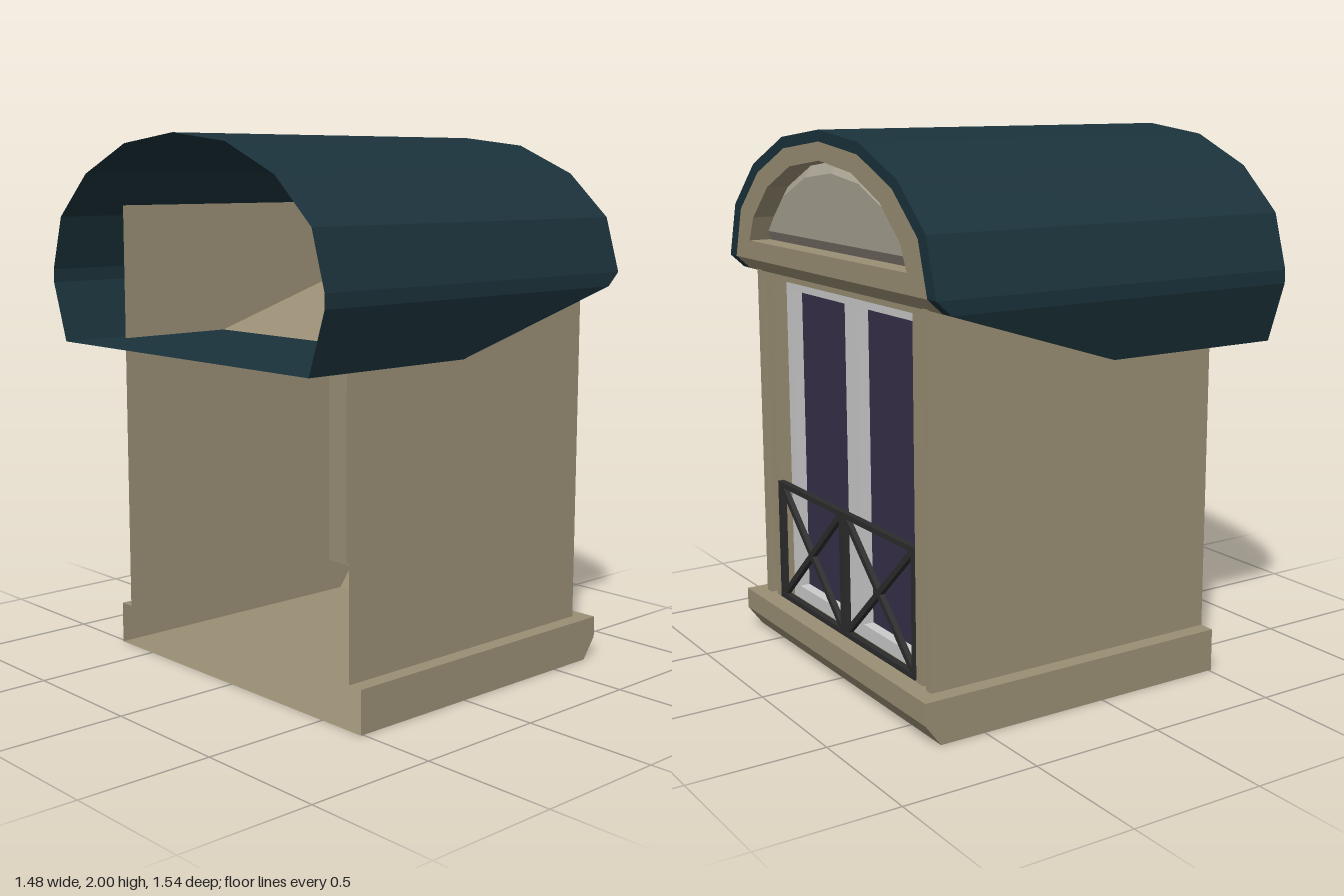
import * as THREE from 'three';

const mat = (color) => new THREE.MeshStandardMaterial({ color, side: THREE.DoubleSide, flatShading: true });

// Half outlines as [z, y], from the crown down
const ROOF = [[0, 2], [0.285, 1.967], [0.535, 1.86], [0.71, 1.7], [0.77, 1.5], [0.77, 1.45], [0.695, 1.23]];
const LINING = [[0, 1.96], [0.275, 1.927], [0.5, 1.83], [0.66, 1.685], [0.715, 1.5], [0.715, 1.45], [0.645, 1.23]];
const ROOF_FRONT = [0.725, 0.725, 0.725, 0.725, 0.725, 0.67, -0.03]; // front x of each outline point
const OPENING = [[0, 1.895], [0.23, 1.865], [0.42, 1.78], [0.55, 1.66], [0.59, 1.57]];
const PANEL = [[0, 1.85], [0.2, 1.825], [0.385, 1.745], [0.47, 1.66], [0.515, 1.61]];
const BACK = -0.51, WALL = 0.635, FACE = 0.675, SILL = 0.695;

// Full outline from one mirrored half
const mirror = (half) => [...half.slice(1).reverse().map(([z, y]) => [-z, y]), ...half];
const mirrorX = (xs) => [...xs.slice(1).reverse(), ...xs];
const at = (pts, x) => pts.map(([z, y], i) => [Array.isArray(x) ? x[i] : x, y, z]);

// Thin surface made of convex polygons
function sheet(name, material, polygons) {
  const pos = [];
  for (const p of polygons)
    for (let i = 1; i < p.length - 1; i++) pos.push(...p[0], ...p[i], ...p[i + 1]);
  const g = new THREE.BufferGeometry();
  g.setAttribute('position', new THREE.Float32BufferAttribute(pos, 3));
  g.computeVertexNormals();
  const mesh = new THREE.Mesh(g, material);
  mesh.name = name;
  return mesh;
}

// Quads joining two rows of points
function strip(a, b, closed = false) {
  const quads = [];
  for (let i = 0; i < a.length - (closed ? 0 : 1); i++) {
    const j = (i + 1) % a.length;
    quads.push([a[i], b[i], b[j], a[j]]);
  }
  return quads;
}

// Box given by its limits
function box(name, material, x0, x1, y0, y1, z0, z1) {
  const mesh = new THREE.Mesh(new THREE.BoxGeometry(x1 - x0, y1 - y0, z1 - z0), material);
  mesh.position.set((x0 + x1) / 2, (y0 + y1) / 2, (z0 + z1) / 2);
  mesh.name = name;
  return mesh;
}

// Flat plate facing +x, outline and holes as [z, y]
function plate(name, material, x, outline, holes = []) {
  const toV = (pts) => pts.map(([z, y]) => new THREE.Vector2(-z, y));
  const shape = new THREE.Shape(toV(outline));
  for (const h of holes) shape.holes.push(new THREE.Path(toV(h)));
  const mesh = new THREE.Mesh(new THREE.ShapeGeometry(shape).rotateY(Math.PI / 2), material);
  mesh.position.x = x;
  mesh.name = name;
  return mesh;
}

const rect = (z, y0, y1) => [[-z, y0], [z, y0], [z, y1], [-z, y1]];

export function createModel() {
  const model = new THREE.Group();
  const stone = mat(0x9a8f75), panelStone = mat(0xa69f90), slate = mat(0x1b323b);
  const white = mat(0xcccccc), glass = mat(0x363049), iron = mat(0x2c2c2c);

  // Curved roof: outer skin, front rim and flat underside
  const roof = new THREE.Group();
  roof.name = 'roof';
  const outer = mirror(ROOF), inner = mirror(LINING), xs = mirrorX(ROOF_FRONT);
  roof.add(sheet('roofSkin', slate, strip(at(outer, -0.74), at(outer, xs))));
  roof.add(sheet('roofRim', slate, strip(at(outer, xs), at(inner, xs))));
  roof.add(sheet('roofUnderside', slate, [[[-0.74, 1.23, -0.695], [-0.03, 1.23, -0.695], [-0.03, 1.23, 0.695], [-0.74, 1.23, 0.695]]]));
  model.add(roof);

  // Arched gable with a raised panel set in a recess
  const gable = new THREE.Group();
  gable.name = 'gable';
  const opening = mirror(OPENING), panel = mirror(PANEL);
  gable.add(plate('gableFace', stone, 0.725, mirror(LINING.slice(0, 5)), [opening]));
  gable.add(sheet('gableRecess', stone, strip(at(opening, 0.725), at(opening, 0.64), true)));
  gable.add(sheet('panelBevel', panelStone, strip(at(opening, 0.64), at(panel, 0.68), true)));
  gable.add(plate('gablePanel', panelStone, 0.68, panel));
  const across = ([z, y], x) => [[x, y, -z], [x, y, z]];
  const rows = LINING.slice(4).map((p, i) => across(p, ROOF_FRONT[i + 4]));
  gable.add(sheet('gableSoffit', stone, [...strip(rows[0], rows[1]), ...strip(rows[1], rows[2])]));
  model.add(gable);

  // Side walls, open at the back
  for (const s of [1, -1])
    model.add(sheet('sideWall', stone, [[[BACK, 0.16, s * WALL], [FACE, 0.16, s * WALL], [FACE, 1.74, s * WALL], [BACK, 1.74, s * WALL]]]));

  // Window surround with grooved jambs
  const surround = new THREE.Group();
  surround.name = 'windowSurround';
  for (const s of [1, -1]) {
    const jamb = (name, x, y0, y1, a, b) =>
      surround.add(box(name, stone, 0.55, x, y0, y1, Math.min(s * a, s * b), Math.max(s * a, s * b)));
    jamb('jambOuter', FACE, 0.16, 1.47, 0.6, WALL);
    jamb('jambGroove', 0.65, 0.16, 1.47, 0.565, 0.6);
    jamb('jambInner', 0.665, 0.16, 1.47, 0.52, 0.565);
    jamb('jambBead', 0.662, 0.2, 1.47, 0.572, 0.586);
  }
  surround.add(box('header', stone, 0.55, 0.67, 1.43, 1.47, -0.6, 0.6));
  model.add(surround);

  // Double window
  const windowGroup = new THREE.Group();
  windowGroup.name = 'window';
  const panes = [1, -1].map((s) => [[s * 0.05, 0.21], [s * 0.47, 0.21], [s * 0.47, 1.385], [s * 0.05, 1.385]]);
  windowGroup.add(plate('windowFrame', white, 0.61, rect(0.52, 0.16, 1.43), panes));
  for (const p of panes) {
    windowGroup.add(sheet('paneReveal', white, strip(at(p, 0.61), at(p, 0.57), true)));
    windowGroup.add(plate('pane', glass, 0.57, p));
  }
  model.add(windowGroup);

  // Sill and base, chamfered along the front
  const base = [[BACK, 0], [FACE, 0], [0.735, 0.08], [0.735, 0.16], [BACK, 0.16]];
  const side = (z) => base.map(([x, y]) => [x, y, z]);
  const ledges = [1, -1].map((s) => [[BACK, 0.16, s * WALL], [0.735, 0.16, s * WALL], [0.735, 0.16, s * SILL], [BACK, 0.16, s * SILL]]);
  const frontLedge = [[0.55, 0.16, -WALL], [0.735, 0.16, -WALL], [0.735, 0.16, WALL], [0.55, 0.16, WALL]];
  model.add(sheet('sill', stone, [
    side(SILL), side(-SILL), ...strip(side(SILL).slice(0, 4), side(-SILL).slice(0, 4)), ...ledges, frontLedge,
  ]));

  // Iron railing with a cross in each half
  const railing = new THREE.Group();
  railing.name = 'railing';
  const rx0 = 0.645, rx1 = 0.67;
  railing.add(box('topRail', iron, rx0, rx1, 0.617, 0.637, -0.518, 0.518));
  railing.add(box('bottomRail', iron, rx0, rx1, 0.165, 0.185, -0.518, 0.518));
  for (const z of [-0.508, 0, 0.508]) {
    const w = z === 0 ? 0.017 : 0.01;
    railing.add(box('railingPost', iron, rx0, rx1, 0.165, 0.637, z - w, z + w));
  }
  const dz = 0.485, dy = 0.44;
  for (const s of [1, -1])
    for (const d of [1, -1]) {
      const bar = new THREE.Mesh(new THREE.BoxGeometry(0.02, 0.022, Math.hypot(dz, dy)), iron);
      bar.position.set(0.657, 0.4, s * 0.258);
      bar.rotation.x = d * Math.atan2(dy, dz);
      bar.name = 'railingBrace';
      railing.add(bar);
    }
  model.add(railing);
  return model;
}
